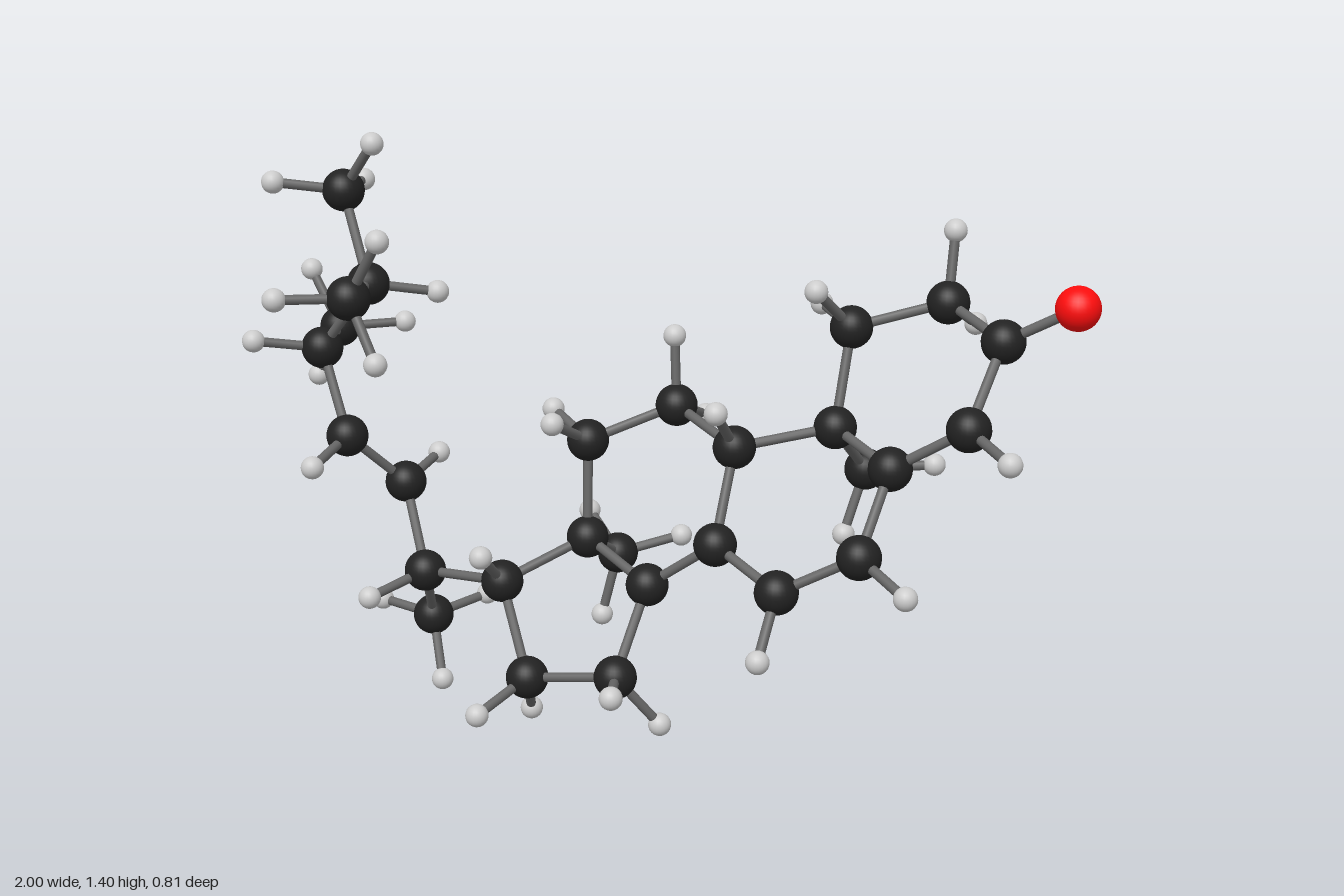
import * as THREE from 'three';

// Heavy atoms: ring system first, then side chain
const ATOMS = {
  O: [0.947, 1.086, 0.004],
  C1: [0.435, 0.976, -0.153], C2: [0.65, 1.036, -0.195], C3: [0.79, 0.996, -0.021],
  C4: [0.735, 0.832, 0.122], C5: [0.565, 0.722, 0.098], C6: [0.521, 0.562, 0.243],
  C7: [0.341, 0.465, 0.246], C8: [0.175, 0.516, 0.115], C9: [0.196, 0.718, 0.009],
  C10: [0.415, 0.756, -0.075], C11: [0.025, 0.763, -0.145], C12: [-0.175, 0.682, -0.077],
  C13: [-0.169, 0.45, -0.043], C14: [0.011, 0.396, 0.095], C15: [-0.035, 0.21, 0.217],
  C16: [-0.259, 0.17, 0.177], C17: [-0.343, 0.371, 0.089], C18: [-0.146, 0.339, -0.242],
  C19: [0.466, 0.606, -0.243], C20: [-0.564, 0.348, 0.009], C21: [-0.6, 0.172, -0.137],
  C22: [-0.64, 0.54, -0.083], C23: [-0.745, 0.681, 0.021], C24: [-0.83, 0.874, -0.055],
  C25: [-0.685, 1.051, -0.004], C26: [-0.767, 1.255, -0.079], C27: [-0.645, 1.07, 0.222],
  C28: [-0.876, 0.867, -0.284],
};

// Chains of bonded atoms
const CHAINS = [
  'O C3', 'C1 C2 C3 C4 C5 C10 C1', 'C5 C6 C7 C8 C9 C10 C19', 'C9 C11 C12 C13 C14 C8',
  'C14 C15 C16 C17 C13 C18', 'C17 C20 C22 C23 C24 C25 C26', 'C20 C21', 'C24 C28', 'C25 C27',
];

// Carbons grouped by their hydrogens: one in a flat bond, one on a branch, two, three
const FLAT_H = 'C4 C6 C7 C22 C23'.split(' ');
const BRANCH_H = 'C9 C17 C20 C24 C25'.split(' ');
const TWO_H = 'C1 C2 C11 C12 C15 C16'.split(' ');
// Methyl carbon: [parent carbon, twist in radians from the staggered pose]
const METHYL = {
  C18: ['C13', 0.26], C19: ['C10', 0.18], C21: ['C20', 0.08],
  C26: ['C25', -0.12], C27: ['C25', 0.14], C28: ['C24', -0.18],
};
const H_BOND = 0.165;

export function createModel() {
  const model = new THREE.Group();
  model.name = 'ballAndStickMolecule';

  const mat = (color) => new THREE.MeshStandardMaterial({ color });
  const bondMat = mat(0x666666);
  const kinds = {
    carbon: { geo: new THREE.SphereGeometry(0.05, 28, 18), mat: mat(0x222222) },
    oxygen: { geo: new THREE.SphereGeometry(0.05, 28, 18), mat: mat(0xff0d0d) },
    hydrogen: { geo: new THREE.SphereGeometry(0.027, 20, 14), mat: mat(0xcccccc) },
  };
  const bondGeo = new THREE.CylinderGeometry(0.0115, 0.0115, 1, 12, 1, true);
  const up = new THREE.Vector3(0, 1, 0);

  function addAtom(kind, p) {
    const ball = new THREE.Mesh(kinds[kind].geo, kinds[kind].mat);
    ball.name = kind + 'Atom';
    ball.position.copy(p);
    model.add(ball);
  }

  function addBond(a, b) {
    const d = b.clone().sub(a);
    const rod = new THREE.Mesh(bondGeo, bondMat);
    rod.name = 'bond';
    rod.position.copy(a).addScaledVector(d, 0.5);
    rod.scale.y = d.length();
    rod.quaternion.setFromUnitVectors(up, d.normalize());
    model.add(rod);
  }

  // Heavy atoms and the rods between them
  const pos = {}, near = {};
  for (const [id, p] of Object.entries(ATOMS)) {
    pos[id] = new THREE.Vector3(...p);
    near[id] = [];
    addAtom(id === 'O' ? 'oxygen' : 'carbon', pos[id]);
  }
  for (const chain of CHAINS) {
    const ids = chain.split(' ');
    for (let i = 1; i < ids.length; i++) {
      const a = ids[i - 1], b = ids[i];
      near[a].push(pos[b]);
      near[b].push(pos[a]);
      addBond(pos[a], pos[b]);
    }
  }

  function addHydrogen(id, dir) {
    const p = pos[id].clone().addScaledVector(dir.normalize(), H_BOND);
    near[id].push(p);
    addAtom('hydrogen', p);
    addBond(pos[id], p);
  }
  const unitTo = (id) => near[id].map((q) => q.clone().sub(pos[id]).normalize());
  const away = (dirs) => dirs.reduce((s, d) => s.sub(d), new THREE.Vector3()).normalize();

  // Flat carbons: the hydrogen points away from both neighbours
  for (const id of FLAT_H) addHydrogen(id, away(unitTo(id)));

  // Branch carbons: the hydrogen makes equal angles with all three neighbours
  for (const id of BRANCH_H) {
    const [a, b, c] = unitTo(id);
    const dir = b.clone().sub(a).cross(c.clone().sub(a));
    if (dir.dot(a) > 0) dir.negate();
    addHydrogen(id, dir);
  }

  // Paired hydrogens straddle the plane of the two neighbours
  for (const id of TWO_H) {
    const dirs = unitTo(id);
    const out = away(dirs);
    const normal = dirs[0].clone().cross(dirs[1]).normalize();
    for (const s of [-1, 1]) {
      addHydrogen(id, out.clone().multiplyScalar(0.61).addScaledVector(normal, 0.79 * s));
    }
  }

  // Methyl hydrogens stagger against the other bonds of the parent carbon
  for (const [id, [parentId, twist]] of Object.entries(METHYL)) {
    const parent = pos[parentId];
    const axis = pos[id].clone().sub(parent).normalize();
    for (const q of near[parentId].filter((n) => n !== pos[id])) {
      const side = q.clone().sub(parent).projectOnPlane(axis).normalize();
      side.applyAxisAngle(axis, twist);
      addHydrogen(id, axis.clone().multiplyScalar(0.33).addScaledVector(side, -0.94));
    }
  }
  return model;
}
